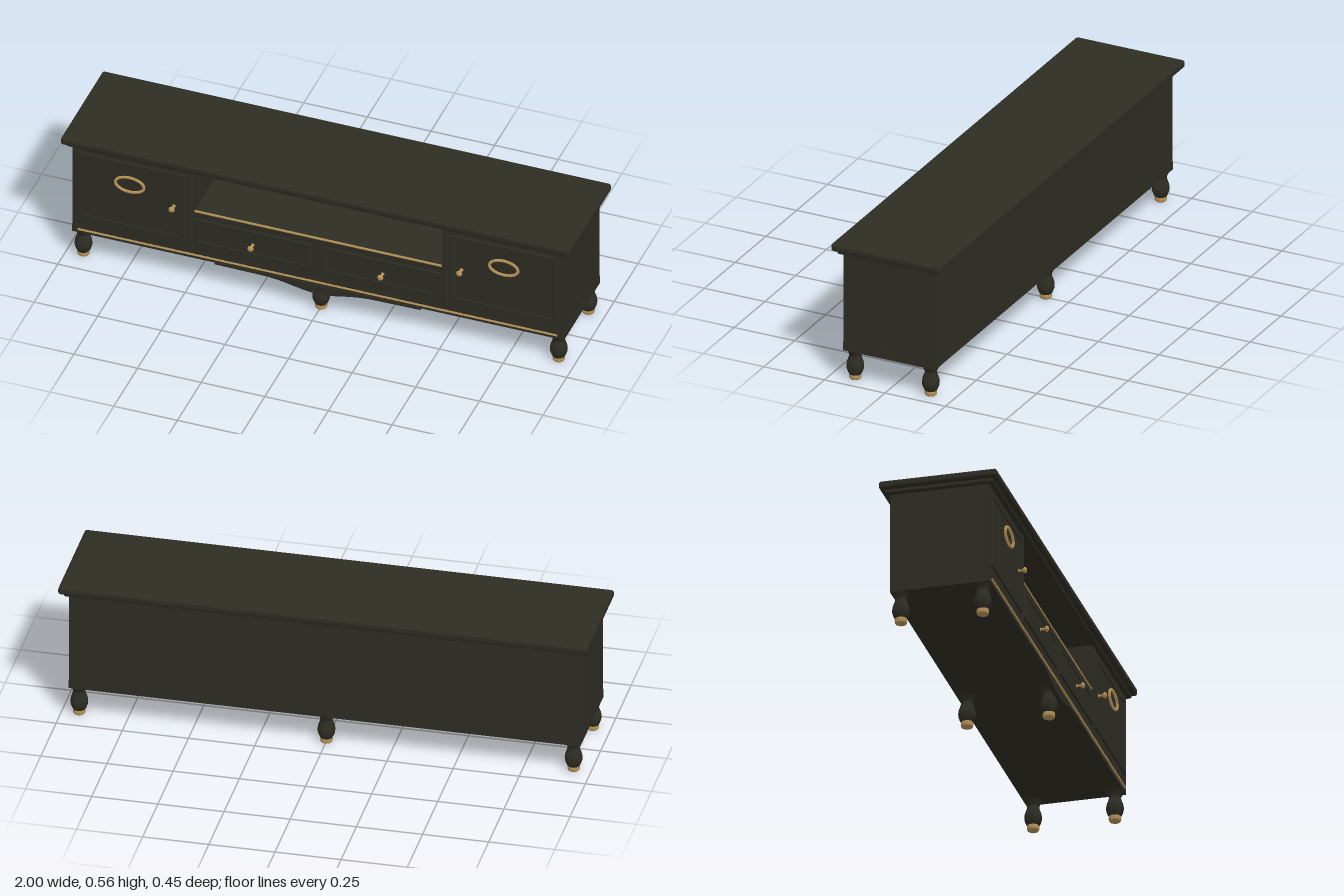
import * as THREE from 'three';
import { RoundedBoxGeometry } from 'three/addons/geometries/RoundedBoxGeometry.js';
import { toCreasedNormals } from 'three/addons/utils/BufferGeometryUtils.js';

export function createModel() {
  const root = new THREE.Group();
  root.name = 'mediaCabinet';
  const wood = new THREE.MeshStandardMaterial({ color: 0x2e2d23 });
  wood.name = 'dark olive wood';
  const brass = new THREE.MeshStandardMaterial({ color: 0xb8965a });
  brass.name = 'brass';

  function add(name, geometry, material, x = 0, y = 0, z = 0) {
    const mesh = new THREE.Mesh(geometry, material);
    mesh.name = name;
    mesh.position.set(x, y, z);
    root.add(mesh);
    return mesh;
  }

  // Box given by its limits on each axis, optionally with rounded edges
  function block(name, [x0, x1], [y0, y1], [z0, z1], r = 0) {
    const s = [x1 - x0, y1 - y0, z1 - z0];
    const g = r ? new RoundedBoxGeometry(...s, 3, r) : new THREE.BoxGeometry(...s);
    return add(name, g, wood, (x0 + x1) / 2, (y0 + y1) / 2, (z0 + z1) / 2);
  }

  // Solid of revolution from [radius, height] pairs
  const turned = (pts, n = 24) => toCreasedNormals(
    new THREE.LatheGeometry(pts.map(([r, y]) => new THREE.Vector2(r, y)), n), 0.6);

  // Top board with stepped moulding beneath
  block('topBoard', [-1, 1], [0.53, 0.56], [-0.225, 0.225], 0.01);
  block('topMoulding', [-0.982, 0.982], [0.514, 0.531], [-0.207, 0.207], 0.007);

  // Carcass around the open shelf
  block('plinth', [-0.967, 0.967], [0.12, 0.152], [-0.19, 0.19]);
  block('backPanel', [-0.49, 0.49], [0.152, 0.515], [-0.189, -0.175]);
  block('drawerCase', [-0.49, 0.49], [0.152, 0.328], [-0.175, 0.188]);
  for (const s of [-1, 1]) {
    const span = (a, b) => (s > 0 ? [a, b] : [-b, -a]);
    block('sideCabinet', span(0.49, 0.965), [0.152, 0.515], [-0.189, 0.189]);
    block('divider', span(0.491, 0.511), [0.155, 0.512], [0.186, 0.194], 0.003);
  }

  // Raised front: rounded moulding frame around a slightly recessed panel
  function panel(name, x, y, w, h, border) {
    const rect = (path, a, b) => path.moveTo(-a, -b).lineTo(a, -b).lineTo(a, b).lineTo(-a, b).closePath();
    const shape = rect(new THREE.Shape(), w / 2 - 0.002, h / 2 - 0.002);
    shape.holes.push(rect(new THREE.Path(), w / 2 - border, h / 2 - border));
    const frame = new THREE.ExtrudeGeometry(shape, {
      depth: 0.005, bevelEnabled: true, bevelSize: 0.002, bevelThickness: 0.002, bevelSegments: 2,
    });
    add(name + 'Frame', frame, wood, x, y, 0.189);
    block(name + 'Panel', [x - w / 2 + border / 2, x + w / 2 - border / 2],
      [y - h / 2 + border / 2, y + h / 2 - border / 2], [0.185, 0.1925]);
  }

  // Knob turned along z
  const knobShape = turned([[0, 0], [0.008, 0], [0.008, 0.003], [0.0045, 0.006], [0.0045, 0.02],
    [0.009, 0.022], [0.012, 0.027], [0.0105, 0.032], [0.006, 0.035], [0, 0.036]], 16);
  function knob(x, y) {
    add('knob', knobShape, brass, x, y, 0.189).rotation.x = Math.PI / 2;
  }

  // Twisted rope: two strands winding about a centre line
  class Strand extends THREE.Curve {
    constructor(centre, normal, turns, radius, phase) {
      super();
      Object.assign(this, { centre, normal, turns, radius, phase });
    }
    getPoint(t, out = new THREE.Vector3()) {
      const a = t * this.turns * Math.PI * 2 + this.phase;
      return out.copy(this.centre(t))
        .addScaledVector(this.normal(t), Math.cos(a) * this.radius)
        .add(new THREE.Vector3(0, 0, Math.sin(a) * this.radius));
    }
  }
  function rope(name, centre, normal, turns, radius, closed, x, y, z) {
    for (const phase of [0, Math.PI]) {
      const path = new Strand(centre, normal, turns, radius * 0.45, phase);
      add(name, new THREE.TubeGeometry(path, turns * 8, radius * 0.58, 6, closed), brass, x, y, z);
    }
  }
  const straight = (half) => (t) => new THREE.Vector3((t * 2 - 1) * half, 0, 0);
  const upward = () => new THREE.Vector3(0, 1, 0);
  const oval = (t) => new THREE.Vector3(0.056 * Math.cos(t * Math.PI * 2), 0.032 * Math.sin(t * Math.PI * 2), 0);
  const ovalNormal = (t) => new THREE.Vector3(
    0.032 * Math.cos(t * Math.PI * 2), 0.056 * Math.sin(t * Math.PI * 2), 0).normalize();

  // Doors with oval ornaments, drawers and their knobs
  for (const s of [-1, 1]) {
    panel('door', s * 0.732, 0.34, 0.42, 0.3, 0.018);
    rope('ovalOrnament', oval, ovalNormal, 24, 0.006, true, s * 0.735, 0.4, 0.2035);
    knob(s * 0.565, 0.34);
    panel('drawer', s * 0.253, 0.245, 0.462, 0.118, 0.016);
    knob(s * 0.255, 0.241);
  }
  rope('shelfTrim', straight(0.485), upward, 80, 0.005, false, 0, 0.333, 0.186);
  rope('plinthTrim', straight(0.942), upward, 140, 0.0045, false, 0, 0.137, 0.193);

  // Scalloped apron under the plinth
  const apron = new THREE.Shape();
  apron.moveTo(-0.405, 0.124);
  apron.lineTo(-0.405, 0.115);
  apron.lineTo(-0.23, 0.113);
  apron.bezierCurveTo(-0.12, 0.112, -0.08, 0.085, 0, 0.084);
  apron.bezierCurveTo(0.08, 0.085, 0.12, 0.112, 0.23, 0.113);
  apron.lineTo(0.405, 0.115);
  apron.lineTo(0.405, 0.124);
  add('apron', new THREE.ExtrudeGeometry(apron, { depth: 0.016, bevelEnabled: false, curveSegments: 16 }),
    wood, 0, 0, 0.178);

  // Turned legs with brass feet
  const legShape = turned([[0, 0.019], [0.022, 0.019], [0.027, 0.028], [0.032, 0.042], [0.033, 0.054],
    [0.031, 0.068], [0.026, 0.082], [0.0225, 0.094], [0.0225, 0.1], [0.026, 0.106], [0.028, 0.112],
    [0.032, 0.117], [0.033, 0.122]]);
  const footShape = turned([[0, 0], [0.019, 0], [0.022, 0.003], [0.0235, 0.01], [0.0225, 0.02], [0, 0.02]]);
  for (const x of [-0.934, 0, 0.934]) {
    for (const z of [-0.156, 0.156]) {
      add('leg', legShape, wood, x, 0, z);
      add('foot', footShape, brass, x, 0, z);
    }
  }
  return root;
}
